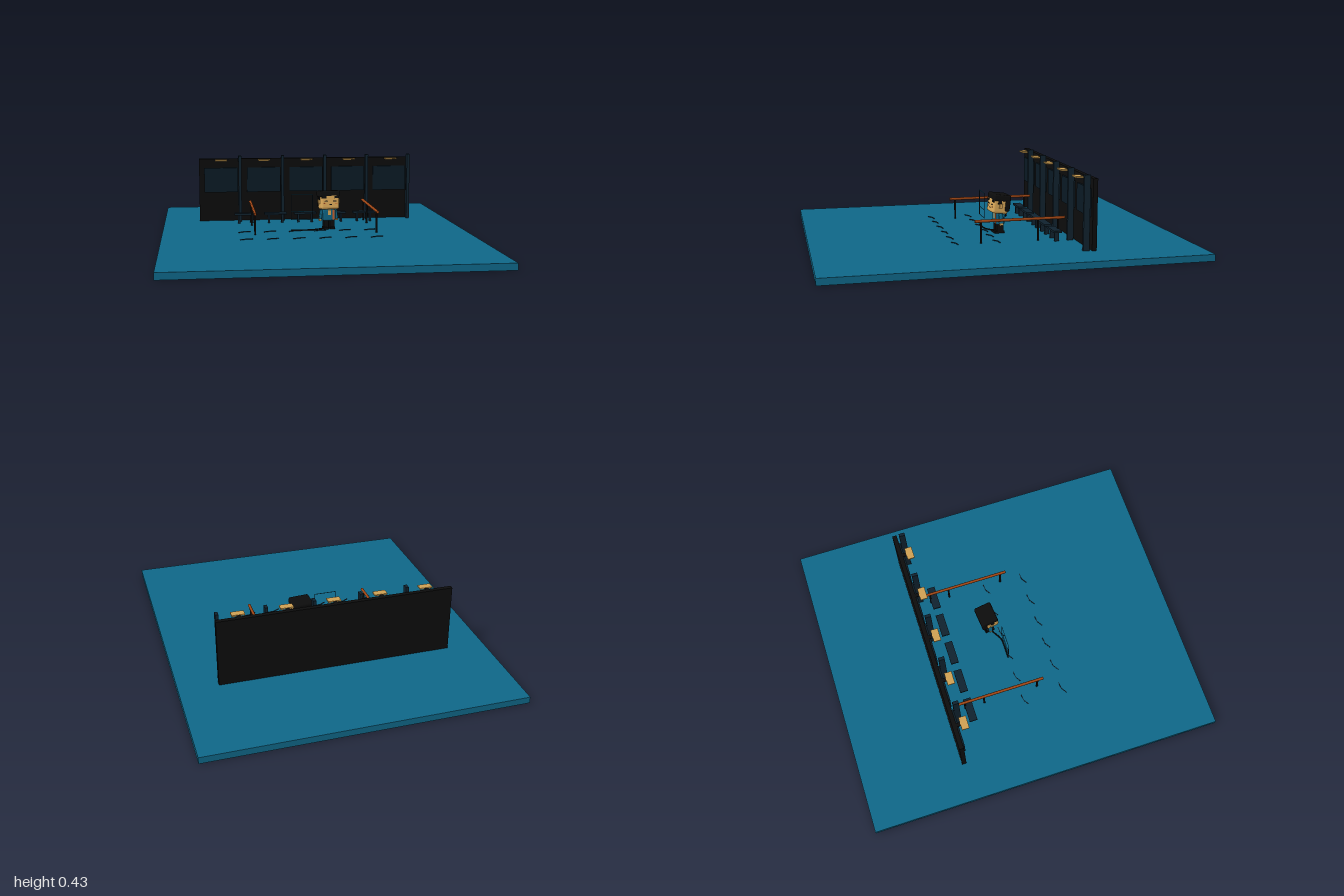
import * as THREE from 'three';
import { RoundedBoxGeometry } from 'three/addons/geometries/RoundedBoxGeometry.js';

const mat = (name, color) => {
  const m = new THREE.MeshStandardMaterial({ color });
  m.name = name;
  return m;
};

export function createModel() {
  const teal = mat('teal', 0x0f6788);
  const black = mat('black', 0x0c0c0c);
  const glass = mat('dark glass', 0x0a1a24);
  const slate = mat('slate', 0x10222e);
  const wood = mat('orange wood', 0x9c4414);
  const brass = mat('brass', 0xcfa052);
  const skin = mat('skin', 0xdcaa5a);
  const accent = mat('orange accent', 0xd0602a);

  const model = new THREE.Group();
  model.name = 'stationScene';
  const FLOOR = 0.036;

  const add = (parent, name, geo, material, x = 0, y = 0, z = 0) => {
    const mesh = new THREE.Mesh(geo, material);
    mesh.name = name;
    mesh.position.set(x, y, z);
    parent.add(mesh);
    return mesh;
  };
  const box = (parent, name, material, w, h, d, x, y, z) =>
    add(parent, name, new THREE.BoxGeometry(w, h, d), material, x, y, z);
  // Thin square bar joining two points
  const bar = (parent, name, material, a, b, t) => {
    const p = new THREE.Vector3(...a), q = new THREE.Vector3(...b);
    const mesh = box(parent, name, material, t, t, p.distanceTo(q), 0, 0, 0);
    mesh.position.copy(p).add(q).multiplyScalar(0.5);
    mesh.lookAt(q);
    return mesh;
  };

  // Floor slab and back wall
  box(model, 'floor', teal, 1.71, FLOOR, 2, 0, FLOOR / 2, 0);
  box(model, 'wall', black, 1.286, 0.376, 0.025, -0.002, 0.224, -0.4275);

  // Five wall bays: window, lamp with bracket, post
  for (let i = 0; i < 5; i++) {
    const x = (i - 2) * 0.257;
    const bay = new THREE.Group();
    bay.name = 'wallBay';
    bay.position.x = x;
    model.add(bay);
    box(bay, 'window', glass, 0.202, 0.148, 0.012, 0, 0.284, -0.411);
    box(bay, 'lampBracket', black, 0.02, 0.006, 0.03, 0, 0.406, -0.403);
    box(bay, 'lamp', brass, 0.07, 0.008, 0.04, 0, 0.407, -0.375);
    box(bay, 'post', slate, 0.017, 0.396, 0.033, 0.112, 0.234, -0.386);
  }

  // Row of benches
  for (let i = 0; i < 5; i++) {
    const bench = new THREE.Group();
    bench.name = 'bench';
    bench.position.set(-0.373 + i * 0.178, 0, -0.307);
    model.add(bench);
    box(bench, 'benchSeat', slate, 0.134, 0.011, 0.045, 0, 0.091, 0);
    for (const s of [-1, 1])
      box(bench, 'benchLeg', slate, 0.012, 0.05, 0.025, s * 0.04, 0.061, 0);
  }

  // Two handrails on thin legs
  for (const s of [-1, 1]) {
    const rail = new THREE.Group();
    rail.name = 'handrail';
    rail.position.x = s * 0.342;
    model.add(rail);
    const tube = add(rail, 'railBar', new THREE.CylinderGeometry(0.008, 0.008, 0.5, 10), wood, 0, 0.157, -0.114);
    tube.rotation.x = Math.PI / 2;
    for (const z of [0.102, -0.214, -0.327])
      box(rail, 'railLeg', black, 0.009, 0.116, 0.009, 0, 0.094, z);
  }

  // Two rows of bent floor marks
  for (const z of [0, 0.228])
    for (let i = 0; i < 6; i++) {
      const x = -0.43 + i * 0.143, y = FLOOR + 0.002;
      bar(model, 'floorMark', slate, [x, y, z + 0.024], [x + 0.032, y, z + 0.003], 0.004);
      bar(model, 'floorMark', slate, [x + 0.032, y, z + 0.003], [x + 0.068, y, z], 0.004);
    }

  // Floating outline frame and the cable beneath it
  const frame = new THREE.Group();
  frame.name = 'floatingFrame';
  model.add(frame);
  for (const y of [0.1, 0.147, 0.243])
    box(frame, 'frameRail', teal, 0.122, 0.003, 0.003, -0.07, y, 0);
  for (const x of [-0.131, -0.009])
    box(frame, 'frameSide', slate, 0.003, 0.146, 0.003, x, 0.1715, 0);
  const cable = new THREE.CatmullRomCurve3(
    [[-0.132, 0], [-0.06, 0], [-0.01, -0.003], [0.03, -0.025], [0.075, -0.05]]
      .map(([x, z]) => new THREE.Vector3(x, FLOOR + 0.004, z)));
  add(model, 'cable', new THREE.TubeGeometry(cable, 20, 0.004, 6), black);

  // Standing figure, turned a little
  const figure = new THREE.Group();
  figure.name = 'figure';
  figure.position.set(0.09, FLOOR, -0.057);
  figure.rotation.y = 0.1;
  model.add(figure);
  for (const s of [-1, 1]) {
    box(figure, 'leg', black, 0.027, 0.045, 0.036, s * 0.018, 0.033, 0);
    box(figure, 'shoe', black, 0.03, 0.012, 0.055, s * 0.018, 0.007, 0.004);
    const arm = add(figure, 'arm', new RoundedBoxGeometry(0.016, 0.055, 0.024, 2, 0.006), teal, s * 0.045, 0.085, 0);
    arm.rotation.z = s * 0.15;
    box(figure, 'hand', skin, 0.013, 0.012, 0.018, s * 0.049, 0.054, 0);
  }
  add(figure, 'torso', new RoundedBoxGeometry(0.074, 0.066, 0.05, 2, 0.008), teal, 0, 0.083, 0);
  box(figure, 'shirt', skin, 0.018, 0.03, 0.004, 0, 0.098, 0.025);
  box(figure, 'strap', accent, 0.011, 0.058, 0.005, 0.024, 0.084, 0.025);

  // Large head tipped slightly back
  const head = new THREE.Group();
  head.name = 'head';
  head.position.set(0, 0.164, 0);
  head.rotation.x = -0.12;
  figure.add(head);
  add(head, 'face', new RoundedBoxGeometry(0.108, 0.096, 0.092, 3, 0.014), skin, 0, -0.002, 0.002);
  add(head, 'hairTop', new RoundedBoxGeometry(0.118, 0.036, 0.1, 3, 0.01), black, 0, 0.039, -0.001);
  add(head, 'hairBack', new RoundedBoxGeometry(0.116, 0.084, 0.032, 3, 0.01), black, 0, 0.006, -0.036);
  for (const s of [-1, 1]) {
    box(head, 'ear', skin, 0.01, 0.024, 0.018, s * 0.057, -0.006, 0.004);
    box(head, 'sideburn', black, 0.008, 0.026, 0.02, s * 0.054, 0.016, 0.012);
    box(head, 'fringe', black, 0.026, 0.014, 0.006, s * 0.037, 0.019, 0.047);
    box(head, 'eye', black, 0.018, 0.005, 0.003, s * 0.025, -0.003, 0.0485);
    box(head, 'cheek', accent, 0.011, 0.005, 0.002, s * 0.035, -0.017, 0.0485);
  }
  box(head, 'mouth', black, 0.014, 0.004, 0.003, 0, -0.023, 0.0485);

  return model;
}
